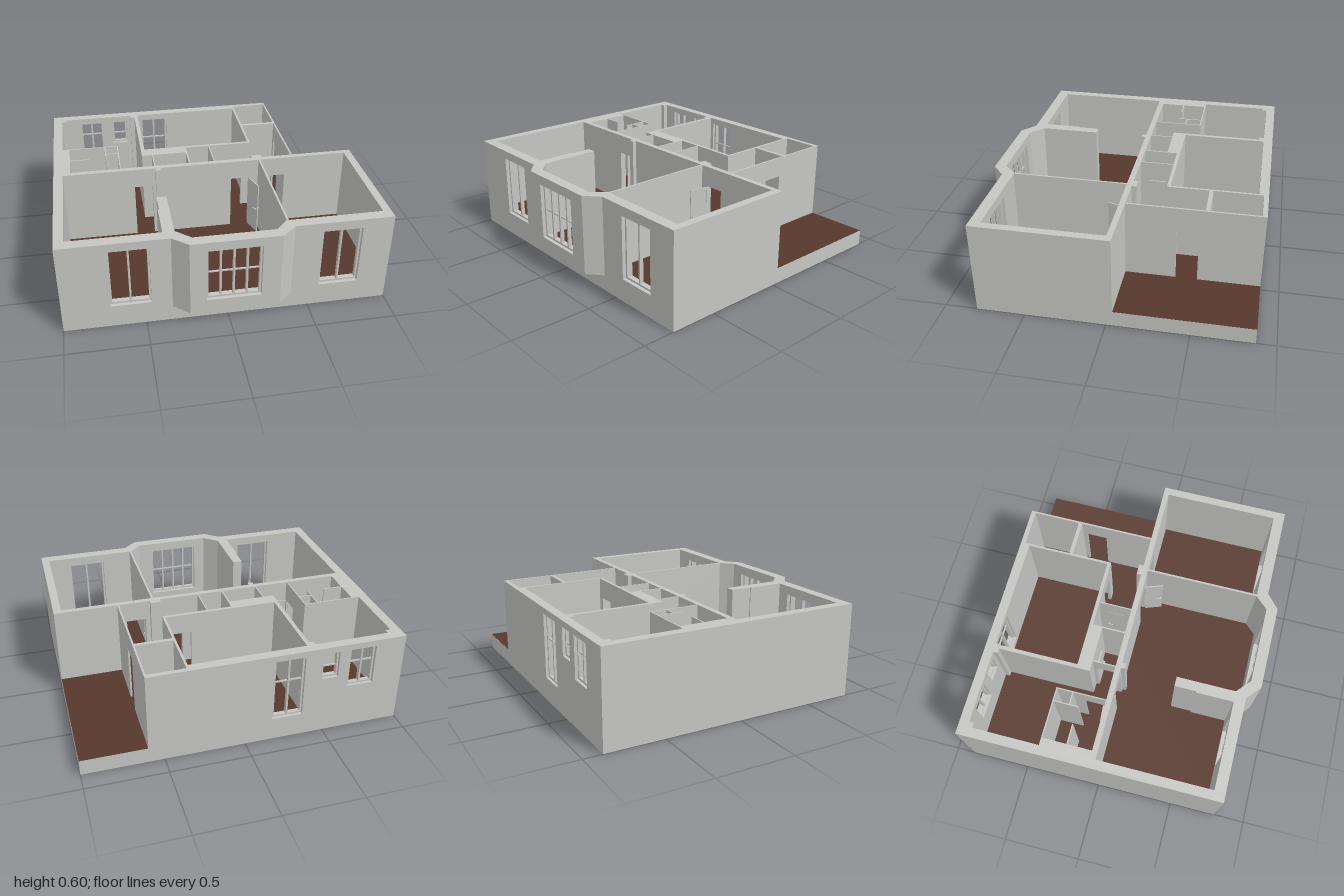
import * as THREE from 'three';

const FLOOR = 0.1, TOP = 0.6, DOOR_TOP = 0.47;

export function createModel() {
  const house = new THREE.Group();
  house.name = 'house';
  const plaster = new THREE.MeshStandardMaterial({ color: 0xc5c5c2 });
  plaster.name = 'plaster';
  const wood = new THREE.MeshStandardMaterial({ color: 0x57382c });
  wood.name = 'brownFloor';

  function add(name, geometry, material = plaster, parent = house) {
    const mesh = new THREE.Mesh(geometry, material);
    mesh.name = name;
    parent.add(mesh);
    return mesh;
  }

  function box(name, x0, x1, y0, y1, z0, z1, parent) {
    const g = new THREE.BoxGeometry(x1 - x0, y1 - y0, z1 - z0);
    g.translate((x0 + x1) / 2, (y0 + y1) / 2, (z0 + z1) / 2);
    return add(name, g, plaster, parent);
  }

  // Wall along x or z: doors notch the lower edge, windows are holes
  function wall(name, axis, from, to, near, far, { doors = [], windows = [] } = {}) {
    const s = new THREE.Shape();
    s.moveTo(from, FLOOR);
    for (const [a, b] of doors) {
      s.lineTo(a, FLOOR);
      s.lineTo(a, DOOR_TOP);
      s.lineTo(b, DOOR_TOP);
      s.lineTo(b, FLOOR);
    }
    s.lineTo(to, FLOOR);
    s.lineTo(to, TOP);
    s.lineTo(from, TOP);
    s.closePath();
    for (const [a, b, y0, y1] of windows) {
      const h = new THREE.Path();
      h.moveTo(a, y0);
      h.lineTo(a, y1);
      h.lineTo(b, y1);
      h.lineTo(b, y0);
      h.closePath();
      s.holes.push(h);
    }
    const g = new THREE.ExtrudeGeometry(s, { depth: far - near, bevelEnabled: false });
    if (axis === 'x') g.translate(0, 0, near);
    else g.rotateY(-Math.PI / 2).translate(far, 0, 0);
    add(name, g);
  }

  // Upright prism from plan points [x, z]
  function prism(name, points) {
    const s = new THREE.Shape(points.map(([x, z]) => new THREE.Vector2(x, -z)));
    const g = new THREE.ExtrudeGeometry(s, { depth: TOP - FLOOR, bevelEnabled: false });
    add(name, g.rotateX(-Math.PI / 2).translate(0, FLOOR, 0));
  }

  // Window frame with evenly spaced lights and an optional crossbar
  function windowFrame(name, [x0, x1, y0, y1], z, lights, barY) {
    const frame = new THREE.Group();
    frame.name = name;
    house.add(frame);
    const t = 0.012, d = 0.012;
    for (const y of [y0, y1 - t]) box('rail', x0, x1, y, y + t, z - d, z + d, frame);
    for (let i = 0; i <= lights; i++) {
      const x = x0 + (x1 - x0 - t) * i / lights;
      box('upright', x, x + t, y0, y1, z - d, z + d, frame);
    }
    if (barY) box('crossbar', x0, x1, barY - 0.004, barY + 0.004, z - 0.005, z + 0.005, frame);
  }

  // Open door leaf from its hinge to its free edge, with handles
  function doorLeaf(hx, hz, ex, ez) {
    const leaf = new THREE.Group();
    leaf.name = 'doorLeaf';
    const len = Math.hypot(ex - hx, ez - hz);
    box('doorPanel', 0, len, FLOOR, DOOR_TOP - 0.005, -0.004, 0.004, leaf);
    box('handleSpindle', len - 0.016, len - 0.01, 0.275, 0.281, -0.016, 0.016, leaf);
    for (const z of [-0.016, 0.016])
      box('handleLever', len - 0.04, len - 0.01, 0.275, 0.281, z - 0.003, z + 0.003, leaf);
    leaf.position.set(hx, 0, hz);
    leaf.rotation.y = -Math.atan2(ez - hz, ex - hx);
    house.add(leaf);
  }

  // Slab and floor
  box('slab', -1, 1, 0, FLOOR, -0.88, 0.8);
  const floor = new THREE.PlaneGeometry(2, 1.68).rotateX(-Math.PI / 2);
  add('floor', floor.translate(0, FLOOR + 0.001, -0.04), wood);

  // Outer walls
  const leftWindow = [-0.71, -0.465, 0.15, 0.545];
  const rightWindow = [0.565, 0.81, 0.145, 0.54];
  const bayWindow = [-0.145, 0.185, 0.185, 0.54];
  const backWindows = [[-0.81, -0.645, 0.3, 0.56], [-0.575, -0.47, 0.385, 0.56], [-0.36, -0.17, 0.15, 0.56]];
  wall('frontWallLeft', 'x', -1, -0.34, 0.73, 0.8, { windows: [leftWindow] });
  wall('frontWallRight', 'x', 0.39, 1, 0.73, 0.8, { windows: [rightWindow] });
  wall('backWall', 'x', -1, 0.35, -0.88, -0.82, { windows: backWindows });
  wall('backWallThin', 'x', 0.35, 0.597, -0.88, -0.85);
  wall('westWall', 'z', -0.88, 0.8, -1, -0.94);
  wall('eastWall', 'z', -0.04, 0.8, 0.95, 1);
  wall('terraceWall', 'z', -0.88, -0.04, 0.585, 0.597, { doors: [[-0.49, -0.355]] });

  // Bay
  prism('baySideWest', [[-0.34, 0.73], [-0.34, 0.8], [-0.245, 0.88], [-0.22, 0.88], [-0.22, 0.81], [-0.31, 0.73]]);
  prism('baySideEast', [[0.355, 0.73], [0.28, 0.81], [0.28, 0.88], [0.3, 0.88], [0.39, 0.8], [0.39, 0.73]]);
  wall('bayFront', 'x', -0.22, 0.28, 0.81, 0.88, { windows: [bayWindow] });

  // Window frames
  windowFrame('leftWindow', leftWindow, 0.765, 2);
  windowFrame('rightWindow', rightWindow, 0.765, 2);
  windowFrame('bayWindow', bayWindow, 0.845, 4, 0.37);
  backWindows.forEach((w, i) => windowFrame('backWindow', w, -0.85, i === 1 ? 1 : 2, i === 2 ? 0.4 : 0.46));

  // Central wall and front rooms
  wall('centralWall', 'x', -1, 1, -0.04, -0.005, { doors: [[-0.48, -0.36], [0.17, 0.295], [0.415, 0.54]] });
  wall('frontPartition', 'z', -0.005, 0.73, 0.355, 0.368);
  wall('livingRoomPier', 'z', 0.35, 0.76, -0.372, -0.31);
  wall('pierThickening', 'z', 0.49, 0.76, -0.38, -0.37);
  box('chimneyBlock', 0.317, 0.385, FLOOR, TOP, -0.07, -0.04);
  box('wallNub', -0.34, -0.305, FLOOR, TOP, -0.005, 0.022);

  // Back rooms
  for (const x of [-0.94, -0.44]) box('cornerPost', x, x + 0.032, FLOOR, TOP, -0.82, -0.79);
  wall('backRoomWest', 'z', -0.82, -0.19, -0.41, -0.385);
  wall('backRoomEast', 'z', -0.85, -0.255, 0.337, 0.352);
  wall('backRoomSouth', 'x', -0.385, 0.352, -0.277, -0.255, { doors: [[0.17, 0.295]] });
  wall('thickSouth', 'x', -0.41, -0.105, -0.256, -0.19);
  wall('cornerRoomSouth', 'x', 0.352, 0.585, -0.545, -0.52);

  // Hall cupboards
  wall('hallWestWall', 'z', -0.19, -0.04, -0.343, -0.335, { doors: [[-0.17, -0.05]] });
  wall('hallMiddleWall', 'z', -0.255, -0.04, -0.11, -0.1);
  wall('hallEastWall', 'z', -0.255, -0.04, 0.056, 0.064, { doors: [[-0.21, -0.09]] });

  // Bathroom
  wall('bathWestThickening', 'z', -0.36, -0.04, -0.94, -0.892);
  wall('bathNorth', 'x', -0.94, -0.562, -0.363, -0.355);
  wall('bathEast', 'z', -0.36, -0.04, -0.57, -0.562, { doors: [[-0.18, -0.06]] });
  wall('closetWest', 'z', -0.36, -0.195, -0.655, -0.647);
  wall('closetSouth', 'x', -0.65, -0.565, -0.258, -0.25);
  wall('bathStub', 'x', -0.892, -0.765, -0.203, -0.195);

  // Doors
  doorLeaf(0.295, 0, 0.335, 0.11);
  doorLeaf(0.415, 0, 0.385, 0.11);
  doorLeaf(-0.335, -0.17, -0.215, -0.17);
  doorLeaf(-0.57, -0.06, -0.675, -0.052);
  doorLeaf(0.06, -0.09, 0.06, -0.21);
  doorLeaf(-0.48, -0.042, -0.56, -0.046);

  return house;
}
